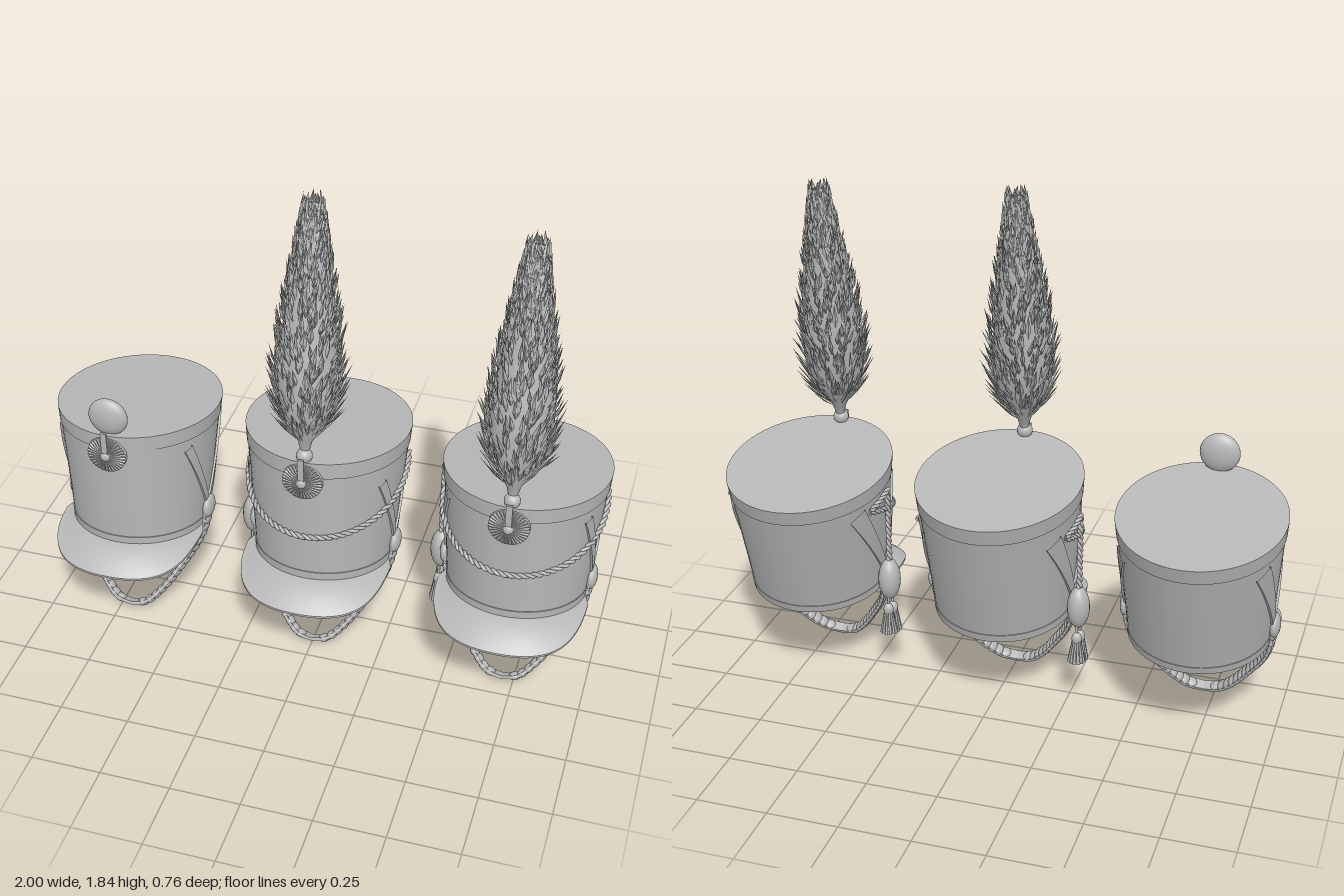
import * as THREE from 'three';
import { toCreasedNormals, mergeGeometries } from 'three/addons/utils/BufferGeometryUtils.js';

const felt = new THREE.MeshStandardMaterial({ color: 0xb8b8b8, side: THREE.DoubleSide });
felt.name = 'plain grey';
const V = (x, y, z) => new THREE.Vector3(x, y, z);
const lerp = THREE.MathUtils.lerp;

function add(parent, name, geometry, x = 0, y = 0, z = 0) {
  const mesh = new THREE.Mesh(geometry, felt);
  mesh.name = name;
  mesh.position.set(x, y, z);
  parent.add(mesh);
  return mesh;
}

// Surface through a grid of points fn(i, j), with sharp edges kept
function loft(fn, nu, nv, crease = 0.6) {
  const pos = [], idx = [];
  for (let i = 0; i <= nu; i++) for (let j = 0; j <= nv; j++) pos.push(...fn(i, j).toArray());
  for (let i = 0; i < nu; i++) for (let j = 0; j < nv; j++) {
    const a = i * (nv + 1) + j, b = a + nv + 1;
    idx.push(a, b, a + 1, b, b + 1, a + 1);
  }
  const g = new THREE.BufferGeometry();
  g.setAttribute('position', new THREE.Float32BufferAttribute(pos, 3));
  g.setIndex(idx);
  return toCreasedNormals(g, crease);
}

const ball = (rx, ry, rz) => new THREE.SphereGeometry(1, 20, 14).scale(rx, ry, rz);

// Flared oval crown wall: t = 0 at the bottom rim, 1 at the top, a = angle from the front
function wall(lift, t, a, off = 0, k = 1) {
  const s = Math.sin(a), c = Math.cos(a);
  const zb = 0.01 + 0.25 * c * k, zt = -0.053 + 0.326 * c * k;
  const yb = 0.314 + (zb + 0.24) * 0.136, yt = 0.775 + lift + (zt + 0.38) * 0.136;
  return V((lerp(0.248, 0.286, t) * k + off) * s, lerp(yb, yt, t), lerp(zb, zt, t) + off * c);
}
// Wall point at a given angle and height
function wallAt(lift, a, y, off) {
  const y0 = wall(lift, 0, a).y, y1 = wall(lift, 1, a).y;
  return wall(lift, (y - y0) / (y1 - y0), a, off);
}
// Angle whose wall point has the given z
const angleOf = (z, y) => {
  const t = (y - 0.35) / 0.47;
  return Math.acos(THREE.MathUtils.clamp((z - lerp(0.01, -0.053, t)) / lerp(0.25, 0.326, t), -1, 1));
};

function crown(hat, lift) {
  // Outer wall with bands, flat top, then the hollow inside: [t, offset, scale]
  const profile = [[0.97, -0.012, 0], [0.97, -0.012, 1], [0, -0.008, 1], [0, 0.003, 1], [0.06, 0.003, 1],
    [0.06, 0, 1], [0.88, 0, 1], [0.88, 0.004, 1], [1, 0.004, 1], [1, 0, 0.99], [1, 0, 0]];
  add(hat, 'crown', loft((i, j) => {
    const [t, off, k] = profile[i];
    return wall(lift, t, j / 72 * Math.PI * 2, k ? off : 0, k);
  }, profile.length - 1, 72));
}

function visor(hat) {
  const n = 8;
  add(hat, 'visor', loft((i, j) => {
    const a = lerp(-1.52, 1.52, i / 48), under = j > n;
    const v = under ? (2 * n + 1 - j) / n : j / n;
    const s = Math.sin(a), c = Math.cos(a);
    const inner = wall(0, 0, a, -0.003);
    const outer = V(0.268 * Math.sign(s) * Math.abs(s) ** 0.9, 0.315 + 0.04 * s ** 6, 0.03 + 0.35 * c ** 0.6);
    const p = inner.lerp(outer, v);
    p.y += 0.045 * v * (1 - v) * c - (under ? 0.008 : 0);
    return p;
  }, 48, 2 * n + 1));
}

// Flat strap lying on the side wall, from (z, y) to (z, y)
function sideStrap(hat, lift, side, from, to, w0, w1) {
  const corners = [[-1, -0.002], [-1, 0.008], [1, 0.008], [1, -0.002], [-1, -0.002]];
  const len = Math.hypot(to[0] - from[0], to[1] - from[1]);
  const nz = (to[1] - from[1]) / len, ny = -(to[0] - from[0]) / len;
  add(hat, 'sideStrap', loft((i, j) => {
    const u = i / 12, [e, off] = corners[j], w = lerp(w0, w1, u) / 2 * e;
    const z = lerp(from[0], to[0], u) + nz * w, y = lerp(from[1], to[1], u) + ny * w;
    return wallAt(lift, side * angleOf(z, y), y, off);
  }, 12, 4));
}

function chinStrap(hat, side) {
  const curve = new THREE.CatmullRomCurve3([V(0.262, 0.41, 0), V(0.25, 0.33, 0.015), V(0.226, 0.26, 0.045),
    V(0.17, 0.165, 0.095), V(0.11, 0.08, 0.135), V(0.055, 0.03, 0.163), V(0, 0.018, 0.17)]
    .map(p => V(p.x * side, p.y, p.z)));
  const W = V(0, 0.39, 0.92).normalize();
  const frame = u => {
    const T = curve.getTangentAt(u), N = T.clone().cross(W).normalize();
    return { p: curve.getPointAt(u), N, T: W.clone().cross(N) };
  };
  const width = u => lerp(0.04, 0.021, u);
  // Backing ribbon
  add(hat, 'chinStrapBacking', loft((i, j) => {
    const u = i / 30, { p, N } = frame(u), e = [[-1, -1], [1, -1], [1, 1], [-1, 1], [-1, -1]][j];
    return p.addScaledVector(W, e[0] * width(u) * 0.9).addScaledVector(N, e[1] * 0.006);
  }, 30, 4));
  // Overlapping metal scales
  const scales = [];
  for (let k = 0; k < 16; k++) {
    const u = 0.05 + k / 16 * 0.92, { p, N, T } = frame(u);
    const m = new THREE.Matrix4().makeBasis(T, W, N).setPosition(p);
    scales.push(new THREE.SphereGeometry(1, 14, 10).scale(0.024, width(u), 0.015).applyMatrix4(m));
  }
  add(hat, 'chinScales', mergeGeometries(scales));
  add(hat, 'chinStrapBoss', ball(0.02, 0.045, 0.045), side * 0.262, 0.41, 0);
}

function cockade(hat, lift) {
  const y = 0.785 + lift;
  // Pleated rosette
  add(hat, 'rosette', loft((i, j) => {
    const a = j / 96 * Math.PI * 2, r = [0, 0.015, 0.045, 0.07, 0.07][i];
    const z = [0.012, 0.012, 0.012, 0.006, -0.012][i] + (i > 1 && i < 4 && j % 3 === 0 ? -0.005 : 0);
    return V(r * Math.sin(a), r * Math.cos(a), z);
  }, 4, 96, 0.3), 0, y, 0.277);
  add(hat, 'cockadeLoop', new THREE.BoxGeometry(0.022, 0.1, 0.008), 0, y + 0.05, 0.293);
  add(hat, 'cockadeButton', ball(0.018, 0.018, 0.012), 0, y, 0.293);
}

// Two twisted strands along points path(u, wobbleUp, wobbleOut)
function cord(hat, name, path, length) {
  const strands = [0, Math.PI].map(ph => {
    const pts = [];
    const n = Math.round(length * 130);
    for (let i = 0; i <= n; i++) {
      const w = i / n * length * 130 + ph;
      pts.push(path(i / n, 0.005 * Math.cos(w), 0.005 * Math.sin(w)));
    }
    return new THREE.TubeGeometry(new THREE.CatmullRomCurve3(pts), n * 2, 0.0065, 6);
  });
  add(hat, name, mergeGeometries(strands));
}

function cordsAndTassels(hat, lift) {
  // Festoon across the front
  const end = angleOf(-0.15, 0.71);
  cord(hat, 'frontCord', (u, up, out) => {
    const a = lerp(-end, end, u);
    const z = wallAt(lift, a, 0.64, 0).z;
    return wallAt(lift, a, 0.575 + (0.275 - z) * 0.31 + up, 0.009 + out);
  }, 1.1);
  // Branch to the right side, then the drop to the tassels
  cord(hat, 'sideCord', (u, up, out) => {
    const z = lerp(-0.15, -0.035, u), y = lerp(0.71, 0.745, u);
    return wallAt(lift, -angleOf(z, y), y + up, 0.009 + out);
  }, 0.13);
  cord(hat, 'hangingCord', (u, up, out) => V(-0.287 + out, lerp(0.745, 0.44, u), -0.035 + up), 0.31);
  add(hat, 'flounder', ball(0.04, 0.08, 0.045), -0.285, 0.385, -0.035);
  for (const [z, top] of [[-0.06, 0.29], [-0.015, 0.275]]) {
    const tassel = new THREE.Group();
    tassel.name = 'tassel';
    tassel.position.set(-0.287, top, z);
    hat.add(tassel);
    add(tassel, 'tasselCord', new THREE.CylinderGeometry(0.005, 0.005, 0.08, 6), 0, 0.03, 0);
    add(tassel, 'tasselHead', ball(0.018, 0.025, 0.018), 0, -0.018, 0);
    const threads = [];
    for (let k = 0; k < 12; k++) {
      const a = k / 12 * Math.PI * 2;
      threads.push(new THREE.CylinderGeometry(0.004, 0.006, 0.085, 5)
        .rotateX(-0.16).translate(0, -0.068, 0.02).rotateY(a));
    }
    add(tassel, 'tasselFringe', mergeGeometries(threads));
  }
}

function plume(hat, lift) {
  let seed = 7;
  const rnd = () => (seed = (seed * 16807) % 2147483647) / 2147483647;
  const shape = [[0, 0.012], [0.05, 0.025], [0.12, 0.068], [0.2, 0.095], [0.3, 0.1], [0.4, 0.095],
    [0.6, 0.07], [0.8, 0.042], [0.89, 0.028], [0.9, 0]];
  const radius = h => {
    const i = Math.max(1, shape.findIndex(p => p[0] >= h));
    const [a, b] = [shape[i - 1], shape[i]];
    return lerp(a[1], b[1], (h - a[0]) / (b[0] - a[0]));
  };
  const group = new THREE.Group();
  group.name = 'plume';
  group.position.set(0, 0.88 + lift, 0.245);
  group.rotation.x = -0.123;
  hat.add(group);
  add(group, 'plumeCore', new THREE.LatheGeometry(shape.map(p => new THREE.Vector2(p[1], p[0])), 24));
  // Pointed folded barbs pointing up and outward
  const pos = [];
  for (let k = 0; k < 650; k++) {
    const h = 0.05 + 0.83 * k / 650, a = k * 2.39996 + rnd() * 0.5;
    const r = radius(h) * 0.96, len = lerp(0.1, 0.055, h / 0.9) * (0.8 + 0.5 * rnd());
    const flare = lerp(0.055, 0.004, h / 0.9) * (0.3 + rnd()), w = 0.007 + 0.006 * rnd();
    const at = (rad, y, side) => [rad * Math.sin(a) + side * Math.cos(a), y, rad * Math.cos(a) - side * Math.sin(a)];
    const rTip = lerp(r, radius(Math.min(0.89, h + len)), 0.7) + flare;
    const base = at(r, h, 0), tip = at(rTip, Math.min(h + len, 0.94), (rnd() - 0.5) * 0.02);
    const rMid = lerp(r, rTip, 0.4) + 0.002, yMid = h + len * 0.4, mid = at(rMid + 0.006, yMid, 0);
    const left = at(rMid, yMid, -w), right = at(rMid, yMid, w);
    pos.push(...base, ...mid, ...left, ...left, ...mid, ...tip, ...base, ...right, ...mid, ...mid, ...right, ...tip);
  }
  const g = new THREE.BufferGeometry();
  g.setAttribute('position', new THREE.Float32BufferAttribute(pos, 3));
  g.computeVertexNormals();
  add(group, 'plumeBarbs', g);
  add(hat, 'plumeSocket', ball(0.028, 0.028, 0.028), 0, 0.875 + lift, 0.25);
}

function shako(x, lift, plumed) {
  const hat = new THREE.Group();
  hat.name = plumed ? 'plumedHat' : 'pomponHat';
  hat.position.x = x;
  crown(hat, lift);
  visor(hat);
  cockade(hat, lift);
  for (const side of [-1, 1]) {
    sideStrap(hat, lift, side, [0, 0.42], [0.118, 0.75], 0.022, 0.032);
    sideStrap(hat, lift, side, [-0.01, 0.42], [-0.2, 0.71], 0.03, 0.06);
    chinStrap(hat, side);
  }
  if (plumed) {
    cordsAndTassels(hat, lift);
    plume(hat, lift);
  } else {
    add(hat, 'pompon', ball(0.072, 0.072, 0.032), 0, 0.92, 0.24);
  }
  return hat;
}

export function createModel() {
  const model = new THREE.Group();
  model.name = 'threeParadeHats';
  model.add(shako(-0.71, 0, false), shako(0, 0.035, true), shako(0.71, 0, true));
  return model;
}
